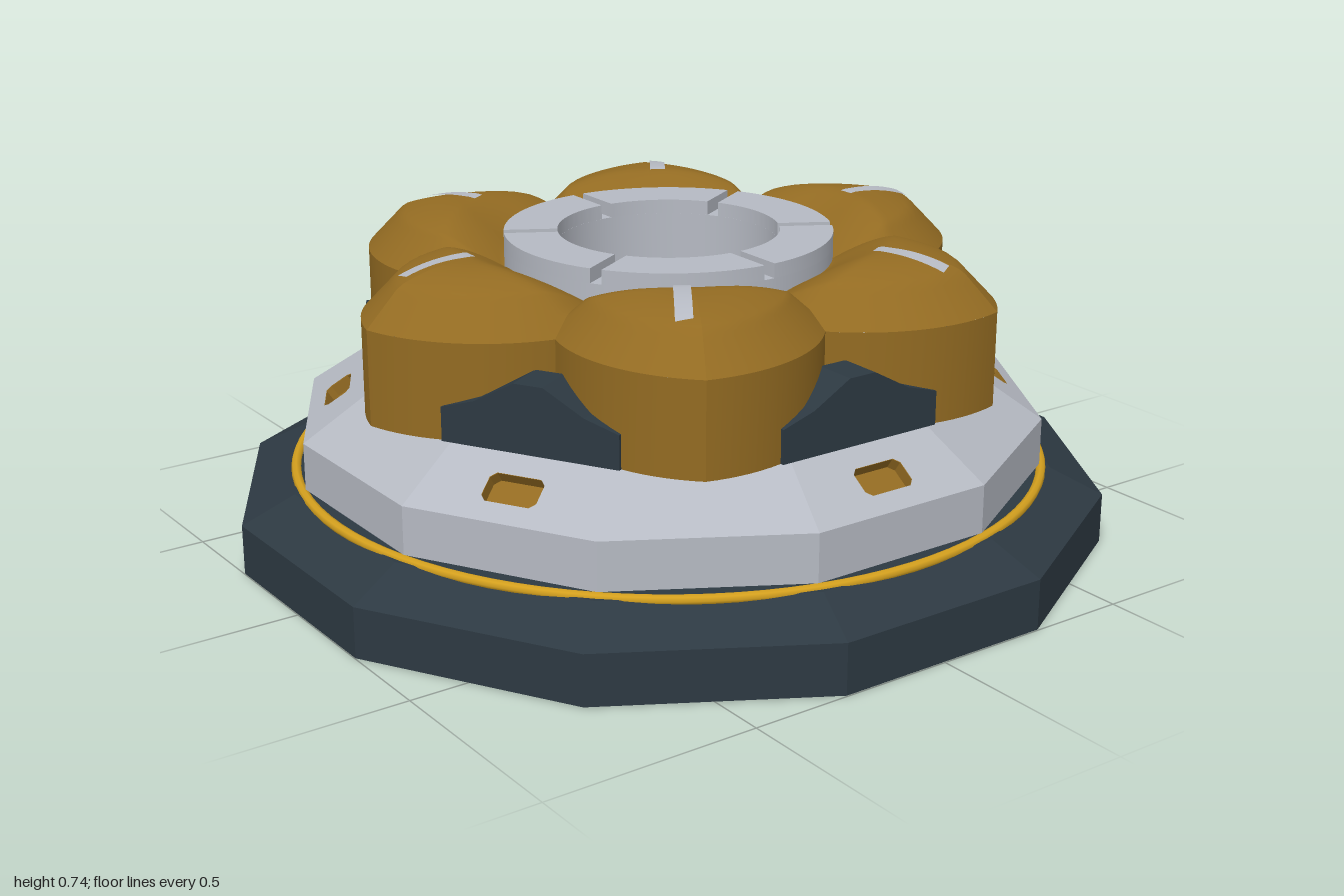
import * as THREE from 'three';
import { toCreasedNormals } from 'three/addons/utils/BufferGeometryUtils.js';

const material = (name, color) => {
  const m = new THREE.MeshStandardMaterial({ color });
  m.name = name;
  return m;
};
const V = (x, y) => new THREE.Vector2(x, y);

// Lens-shaped petal outline: an arc of radius ARC about (-SHIFT, MID), mirrored in x
const SHIFT = 0.0907, MID = 0.42, ARC = 0.3907;

function petalReach(a) {
  const s = Math.sin(Math.abs(a)), c = Math.cos(a);
  const b = -SHIFT * s + MID * c;
  return b + Math.sqrt(b * b - (SHIFT ** 2 + MID ** 2 - ARC ** 2));
}

// Pillowed petal top: steep bevel at the rim, gentle crown, dip towards the centre
function petalHeight(x, z) {
  const d = Math.max(0, ARC - Math.hypot(Math.abs(x) + SHIFT, z - MID));
  const s = Math.min(1, Math.max(0, (d - 0.08) / 0.14));
  const dip = Math.min(1, Math.max(0, (0.53 - Math.hypot(x, z)) / 0.145));
  return 0.62 + 1.05 * Math.min(d, 0.08) + 0.031 * (1 - (1 - s) ** 2) - 0.075 * dip ** 1.3;
}

// Grid surface from a rule (u, v) -> [x, y, z], facing du x dv
function surface(rule, nu, nv) {
  const g = new THREE.PlaneGeometry(1, 1, nu, nv);
  const p = g.attributes.position;
  for (let i = 0; i < p.count; i++) p.setXYZ(i, ...rule(p.getX(i) + 0.5, p.getY(i) + 0.5));
  g.computeVertexNormals();
  return g;
}

export function createModel() {
  const dark = material('dark slate', 0x2d3942);
  const silver = material('silver', 0xb6bac3);
  const amber = material('amber', 0x936b22);
  const gold = material('gold', 0xd4a01e);

  const model = new THREE.Group();
  const add = (parent, name, geometry, mat) => {
    const mesh = new THREE.Mesh(geometry, mat);
    mesh.name = name;
    parent.add(mesh);
    return mesh;
  };
  const group = (name, angle) => {
    const g = new THREE.Group();
    g.name = name;
    g.rotation.y = angle;
    model.add(g);
    return g;
  };

  // Twelve-sided solids; radii are given to the flats
  const TWELFTH = Math.PI / 6;
  const faceted = (points) => {
    const profile = points.map(([r, y]) => V(r / Math.cos(TWELFTH / 2), y));
    const g = new THREE.LatheGeometry(profile, 12, TWELFTH / 2).toNonIndexed();
    g.computeVertexNormals();
    return g;
  };

  add(model, 'base', faceted([[0.368, 0.002], [1, 0.002], [1, 0.12], [0.88, 0.18], [0.368, 0.18]]), dark);
  const trim = add(model, 'trimRing', new THREE.TorusGeometry(0.889, 0.012, 8, 96), gold);
  trim.rotation.x = Math.PI / 2;
  trim.position.y = 0.178;

  // Collar: wall and top, with the sloping panels added below
  add(model, 'collarWall', faceted([[0.37, 0.188], [0.855, 0.188], [0.855, 0.3]]), silver);
  add(model, 'collarTop', faceted([[0.71, 0.4], [0.36, 0.4]]), silver);

  const slope = Math.hypot(0.145, 0.1);
  const lowHalf = 0.855 * Math.tan(TWELFTH / 2), topHalf = 0.71 * Math.tan(TWELFTH / 2);
  const slot = [V(-0.065, 0.062), V(-0.052, 0.049), V(0.052, 0.049), V(0.065, 0.062),
    V(0.065, 0.109), V(0.052, 0.122), V(-0.052, 0.122), V(-0.065, 0.109)];
  const trayShape = new THREE.Shape([V(-0.08, 0.035), V(0.08, 0.035), V(0.08, 0.136), V(-0.08, 0.136)]);
  trayShape.holes.push(new THREE.Path(slot));

  for (let k = 0; k < 12; k++) {
    const side = group('collarPanel', k * TWELFTH);
    const tilt = new THREE.Group();
    tilt.name = 'slopedPanel';
    tilt.position.set(0, 0.3, 0.855);
    tilt.rotation.x = -Math.atan2(0.145, 0.1);
    side.add(tilt);
    const shape = new THREE.Shape([V(-lowHalf, 0), V(lowHalf, 0), V(topHalf, slope), V(-topHalf, slope)]);
    if (k % 2) {
      // Recessed amber slot
      shape.holes.push(new THREE.Path(slot));
      const walls = new THREE.ExtrudeGeometry(trayShape, { depth: 0.028, bevelEnabled: false });
      add(tilt, 'slotWalls', walls.translate(0, 0, -0.03), amber);
      add(tilt, 'slotFloor', new THREE.BoxGeometry(0.16, 0.1, 0.008).translate(0, 0.0855, -0.034), amber);
    }
    add(tilt, 'slopeFace', new THREE.ShapeGeometry(shape), silver);
  }

  // Dark brackets between the petals
  const bracketShape = new THREE.Shape([V(-0.212, 0.4), V(0.212, 0.4), V(0.212, 0.478), V(0.13, 0.503),
    V(0.035, 0.556), V(-0.035, 0.556), V(-0.13, 0.503), V(-0.212, 0.478)]);
  const bracketGeo = new THREE.ExtrudeGeometry(bracketShape, { depth: 0.1, bevelEnabled: false });
  bracketGeo.translate(0, 0, 0.61);

  // Half petals as three strips: underside, wall and pillowed top
  const INNER = 0.37;
  const halves = [-1, 0].map((start) => {
    const at = (u) => {
      const a = (start + u) * TWELFTH;
      return [Math.sin(a), Math.cos(a), petalReach(a)];
    };
    return {
      petalUnderside: surface((u, v) => {
        const [s, c, reach] = at(u);
        const r = INNER + (reach - INNER) * v;
        return [r * s, 0.4, r * c];
      }, 16, 1),
      petalWall: surface((u, v) => {
        const [s, c, reach] = at(u);
        return [reach * s, 0.4 + 0.22 * v, reach * c];
      }, 16, 1),
      petalTop: surface((u, v) => {
        const [s, c, reach] = at(u);
        const r = reach + (INNER - reach) * v;
        return [r * s, petalHeight(r * s, r * c), r * c];
      }, 20, 28),
    };
  });
  // Slim inlay hugging the petal top, just beside its centre line
  const inlay = surface((u, v) => {
    const z = 0.69 - 0.17 * v;
    const x = -0.053 + 0.038 * u + 0.012 * v;
    return [x, petalHeight(x, z) + 0.005, z];
  }, 2, 14);

  for (let k = 0; k < 6; k++) {
    const petal = group('petal', k * 2 * TWELFTH);
    for (const half of halves)
      for (const [name, geometry] of Object.entries(half)) add(petal, name, geometry, amber);
    add(petal, 'petalInlay', inlay, silver);
    add(group('bracketMount', (2 * k + 1) * TWELFTH), 'bracket', bracketGeo, dark);
  }

  // Central sleeve running right through, open at both ends
  const OUT = 0.385, BORE = 0.26;
  const sleeve = new THREE.LatheGeometry(
    [V(BORE, 0), V(OUT, 0), V(OUT, 0.69), V(BORE, 0.69), V(BORE, 0)], 72);
  add(model, 'sleeve', toCreasedNormals(sleeve, 0.6), silver);

  // Six raised crown segments leave radial grooves between them
  const gapOut = 0.014 / OUT, gapIn = 0.014 / BORE, sixth = Math.PI / 3;
  const crown = new THREE.Shape();
  crown.absarc(0, 0, OUT, gapOut, sixth - gapOut, false);
  crown.absarc(0, 0, BORE, sixth - gapIn, gapIn, true);
  const crownGeo = toCreasedNormals(
    new THREE.ExtrudeGeometry(crown, { depth: 0.034, bevelEnabled: false, curveSegments: 16 }), 0.6);
  crownGeo.rotateX(-Math.PI / 2).translate(0, 0.69, 0);
  for (let k = 0; k < 6; k++) add(group('crownSegment', k * sixth), 'crownBlock', crownGeo, silver);

  return model;
}
